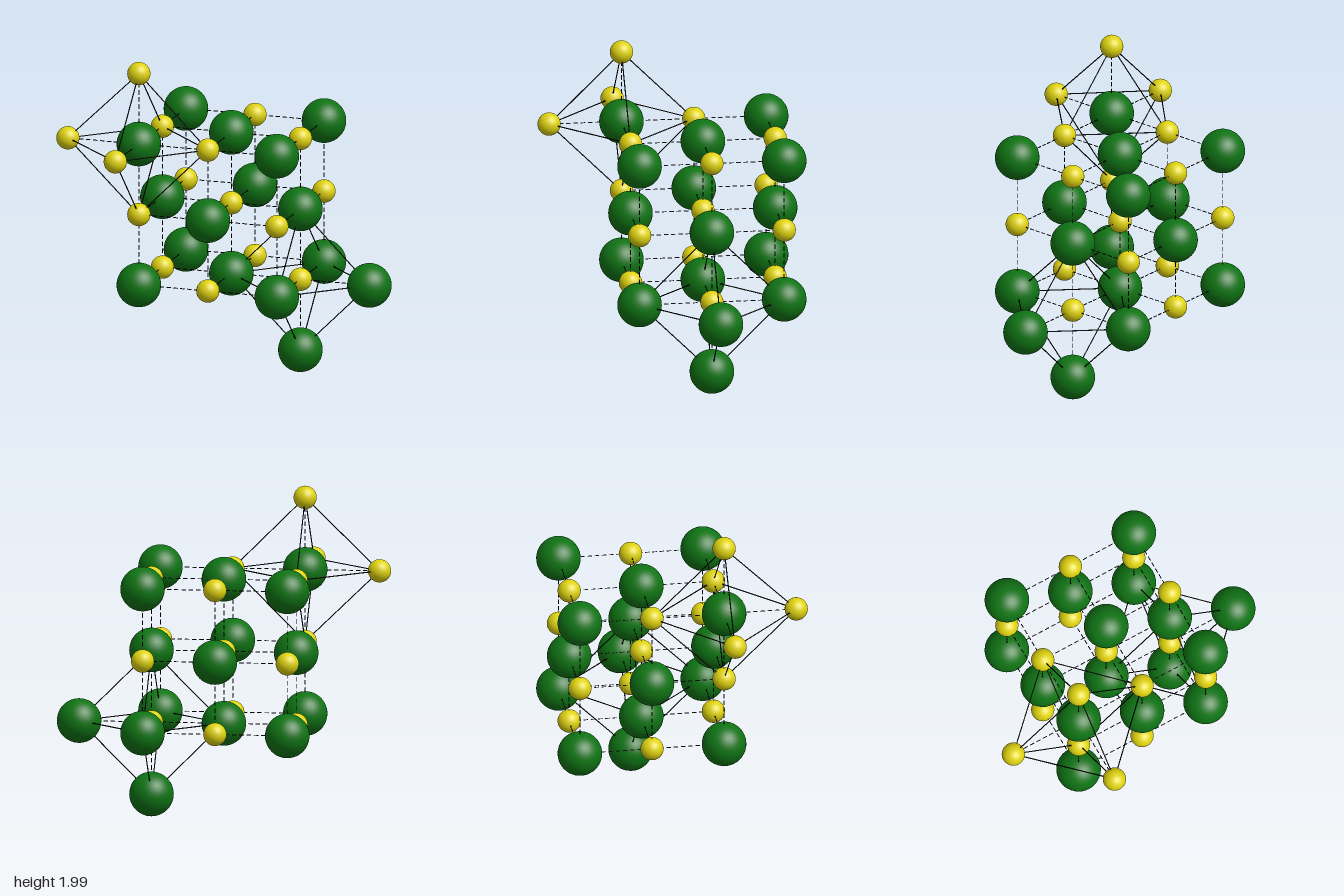
import * as THREE from 'three';
import { mergeGeometries } from 'three/addons/utils/BufferGeometryUtils.js';

const STEP = 0.4445;
const BIG = 0.136, SMALL = 0.071;

// Lattice index to position; the outermost atom on the -x side sits slightly further out
const site = (i, j, k) => new THREE.Vector3(
  i < 0 ? -0.929 : -0.472 + STEP * i,
  0.587 + STEP * j,
  -0.635 + STEP * k
);
const isBig = (i, j, k) => (i + j + k) % 2 === 0;
const radiusOf = (c) => (isBig(...c) ? BIG : SMALL);

// Thin rod between two points
function rod(a, b, radius) {
  const dir = b.clone().sub(a);
  const g = new THREE.CylinderGeometry(radius, radius, dir.length(), 6);
  g.applyQuaternion(new THREE.Quaternion().setFromUnitVectors(
    new THREE.Vector3(0, 1, 0), dir.normalize()));
  const mid = a.clone().add(b).multiplyScalar(0.5);
  return g.translate(mid.x, mid.y, mid.z);
}

export function createModel() {
  const model = new THREE.Group();
  model.name = 'crystalLattice';

  const green = new THREE.MeshStandardMaterial({ color: 0x0f7314 });
  const yellow = new THREE.MeshStandardMaterial({ color: 0xded210 });
  const black = new THREE.MeshStandardMaterial({ color: 0x000000 });
  const bigSphere = new THREE.SphereGeometry(BIG, 36, 24);
  const smallSphere = new THREE.SphereGeometry(SMALL, 28, 18);

  // Sites: a 3x3x3 block plus the outer tips of two corner octahedra
  const cells = [];
  for (let i = 0; i < 3; i++)
    for (let j = 0; j < 3; j++)
      for (let k = 0; k < 3; k++) cells.push([i, j, k]);
  cells.push([-1, 2, 2], [0, 3, 2], [0, 2, 3]);
  cells.push([3, 0, 1], [2, -1, 1]);

  // Atoms
  const atoms = new THREE.Group();
  atoms.name = 'atoms';
  for (const c of cells) {
    const big = isBig(...c);
    const atom = new THREE.Mesh(big ? bigSphere : smallSphere, big ? green : yellow);
    atom.name = big ? 'largeAtom' : 'smallAtom';
    atom.position.copy(site(...c));
    atoms.add(atom);
  }
  model.add(atoms);

  // Dashed bonds between nearest neighbours, only where they leave the atoms
  const dashes = [];
  const PERIOD = 0.0445, DASH = 0.028;
  cells.forEach((a, n) => cells.slice(n + 1).forEach((b) => {
    const gap = a.reduce((sum, v, m) => sum + Math.abs(v - b[m]), 0);
    if (gap !== 1) return;
    const start = site(...a), end = site(...b);
    const dir = end.clone().sub(start);
    const length = dir.length();
    dir.normalize();
    for (let t = 0; t < length; t += PERIOD) {
      if (t + DASH < radiusOf(a) || t > length - radiusOf(b)) continue;
      dashes.push(rod(
        start.clone().addScaledVector(dir, t),
        start.clone().addScaledVector(dir, Math.min(t + DASH, length)), 0.003));
    }
  }));
  const bonds = new THREE.Mesh(mergeGeometries(dashes), black);
  bonds.name = 'dashedBonds';
  model.add(bonds);

  // Solid edges of the octahedra around two sites
  const octahedron = (name, [i, j, k]) => {
    const pairs = [
      [site(i - 1, j, k), site(i + 1, j, k)],
      [site(i, j - 1, k), site(i, j + 1, k)],
      [site(i, j, k - 1), site(i, j, k + 1)],
    ];
    const edges = [];
    for (let p = 0; p < 3; p++)
      for (const a of pairs[p])
        for (const b of pairs[(p + 1) % 3]) edges.push(rod(a, b, 0.0035));
    const mesh = new THREE.Mesh(mergeGeometries(edges), black);
    mesh.name = name;
    model.add(mesh);
  };
  octahedron('upperOctahedronEdges', [0, 2, 2]);
  octahedron('lowerOctahedronEdges', [2, 0, 1]);

  return model;
}
